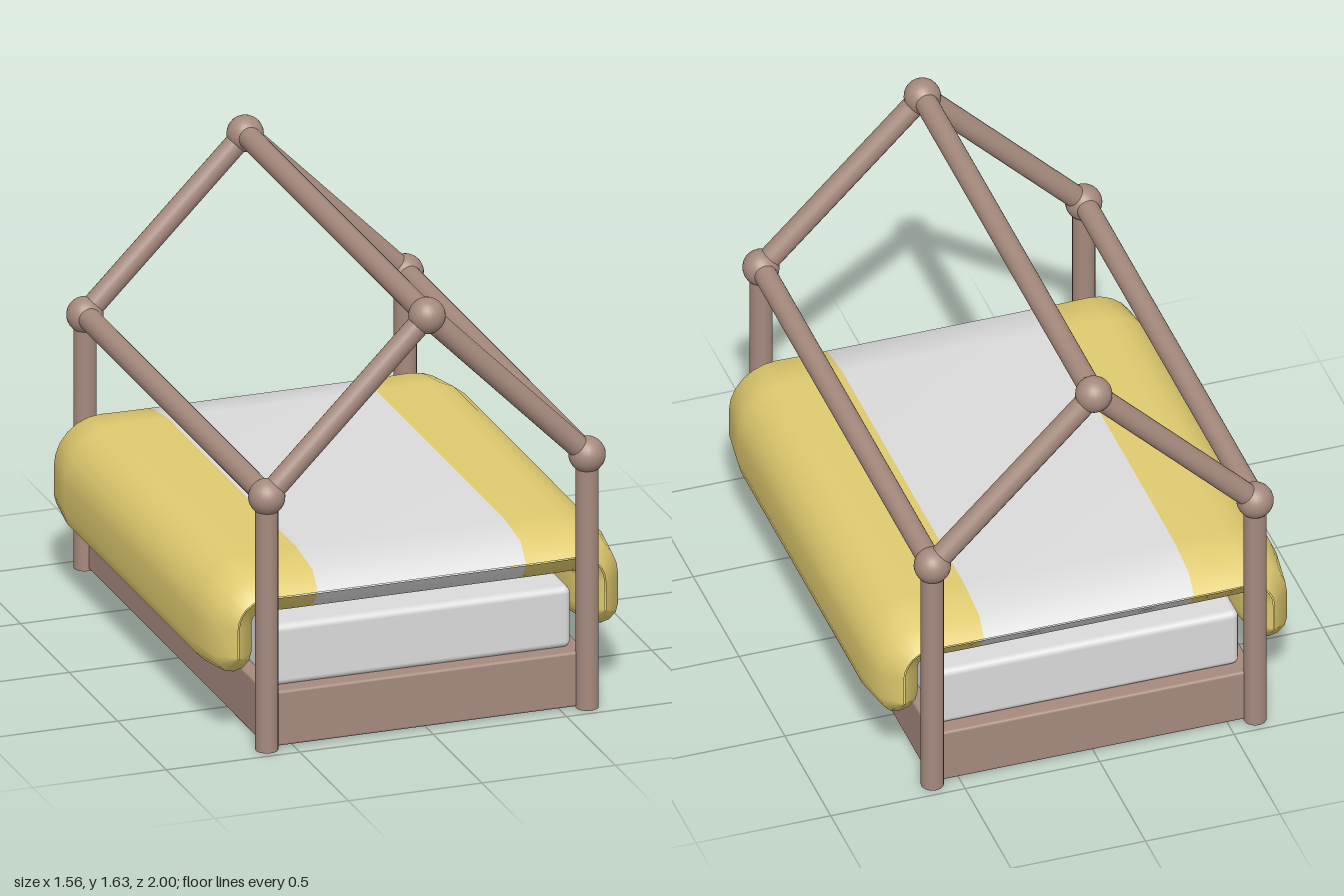
import * as THREE from 'three';
import { RoundedBoxGeometry } from 'three/addons/geometries/RoundedBoxGeometry.js';

const wood = new THREE.MeshStandardMaterial({ name: 'brownWood', color: 0xa5897d });
const linen = new THREE.MeshStandardMaterial({ name: 'paleLinen', color: 0xdadada });
const yellow = new THREE.MeshStandardMaterial({ name: 'yellowFabric', color: 0xdfca6f });

const X = 0.6, Z = 0.935, EAVE = 0.955, RIDGE = 1.56, ROD = 0.041, KNOB = 0.066;

function addMesh(parent, name, geometry, material) {
  const mesh = new THREE.Mesh(geometry, material);
  mesh.name = name;
  parent.add(mesh);
  return mesh;
}

// Round bar between two points
function addRod(parent, name, a, b) {
  const from = new THREE.Vector3(...a), to = new THREE.Vector3(...b);
  const dir = to.clone().sub(from);
  const rod = addMesh(parent, name, new THREE.CylinderGeometry(ROD, ROD, dir.length(), 20), wood);
  rod.position.copy(from).add(to).multiplyScalar(0.5);
  rod.quaternion.setFromUnitVectors(new THREE.Vector3(0, 1, 0), dir.normalize());
}

// Padded quilt: a draped centre line thickened to both sides, tapering towards its two ends
function quiltGeometry() {
  const half = [];               // centre line from the middle to the right hem: x, y, normal angle
  for (const x of [0.39, 0.48]) half.push([x, 0.545, Math.PI / 2]);
  for (let i = 0; i <= 6; i++) {
    const a = Math.PI / 2 * (1 - i / 6);
    half.push([0.58 + 0.107 * Math.cos(a), 0.44 + 0.107 * Math.sin(a), a]);
  }
  half.push([0.687, 0.335, 0]);
  const mirrored = half.map(([x, y, a]) => [-x, y, Math.PI - a]).reverse();
  const line = [...mirrored, [0, 0.545, Math.PI / 2], ...half];

  // Closed loop: outer side, right hem, inner side, left hem
  const hem = (x, start) => [1, 2, 3, 4, 5].map(i => [x, 0.335, start - Math.PI * i / 6]);
  const loop = [
    ...line, ...hem(0.687, 0),
    ...line.map(([x, y, a]) => [x, y, a + Math.PI]).reverse(), ...hem(-0.687, 0),
  ];
  // The left hem turns from facing inwards, under, to facing outwards
  const rows = [[-0.885, 0.002], [-0.83, 0.068], [-0.66, 0.093], [0.66, 0.093], [0.83, 0.068], [0.885, 0.002]];
  const n = loop.length, pos = [], white = [], coloured = [];
  for (const [z, t] of rows)
    for (const [x, y, a] of loop) pos.push(x + t * Math.cos(a), y + t * Math.sin(a), z);
  for (let r = 0; r < rows.length - 1; r++) {
    for (let i = 0; i < n; i++) {
      const j = (i + 1) % n, a = r * n + i, b = r * n + j;
      const mid = Math.abs(loop[i][0] + loop[j][0]) / 2;
      (mid < 0.39 ? white : coloured).push(a, a + n, b, b, a + n, b + n);
    }
  }
  const g = new THREE.BufferGeometry();
  g.setAttribute('position', new THREE.Float32BufferAttribute(pos, 3));
  g.setIndex([...white, ...coloured]);
  g.addGroup(0, white.length, 0);
  g.addGroup(white.length, coloured.length, 1);
  g.computeVertexNormals();
  return g;
}

export function createModel() {
  const model = new THREE.Group();
  model.name = 'houseBed';

  // House-shaped frame
  const frame = new THREE.Group();
  frame.name = 'frame';
  model.add(frame);
  const knob = new THREE.SphereGeometry(KNOB, 24, 16);
  for (const z of [-Z, Z]) {
    for (const x of [-X, X]) {
      addRod(frame, 'post', [x, 0, z], [x, EAVE, z]);
      addRod(frame, 'rafter', [x, EAVE, z], [0, RIDGE, z]);
      addMesh(frame, 'eaveKnob', knob, wood).position.set(x, EAVE, z);
    }
    addMesh(frame, 'ridgeKnob', knob, wood).position.set(0, RIDGE, z);
  }
  for (const x of [-X, X]) addRod(frame, 'sideRail', [x, EAVE, -Z], [x, EAVE, Z]);
  addRod(frame, 'ridgeRail', [0, RIDGE, -Z], [0, RIDGE, Z]);

  // Bed base, mattress and quilt
  addMesh(model, 'base', new RoundedBoxGeometry(1.2, 0.207, 1.87, 2, 0.01), wood).position.y = 0.1085;
  addMesh(model, 'mattress', new RoundedBoxGeometry(1.12, 0.23, 1.77, 4, 0.025), linen).position.y = 0.325;
  const quilt = addMesh(model, 'quilt', quiltGeometry(), [linen, yellow]);
  quilt.material.forEach(m => { m.side = THREE.DoubleSide; });
  return model;
}
